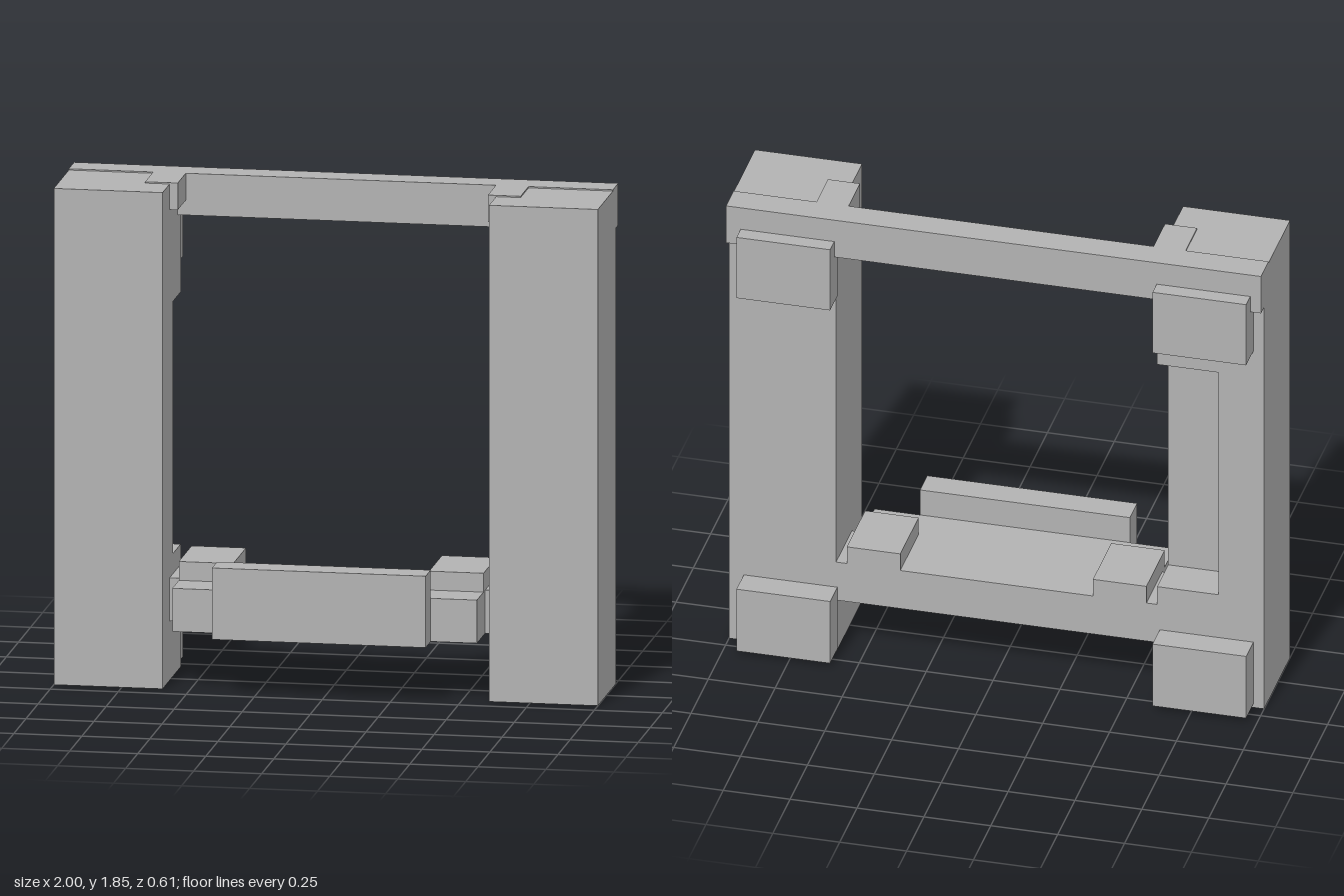
import * as THREE from 'three';

export function createModel() {
  const model = new THREE.Group();
  model.name = 'bracketFrame';
  const grey = new THREE.MeshStandardMaterial({ color: 0xb2b2b2 });
  grey.name = 'plain grey';

  // Box given by its limits along each axis
  function box(name, [x0, x1], [y0, y1], [z0, z1], parent = model) {
    const mesh = new THREE.Mesh(new THREE.BoxGeometry(x1 - x0, y1 - y0, z1 - z0), grey);
    mesh.position.set((x0 + x1) / 2, (y0 + y1) / 2, (z0 + z1) / 2);
    mesh.name = name;
    parent.add(mesh);
  }
  // Same box on either side: s = 1 for left (+x), -1 for right
  const span = (s, a, b) => (s > 0 ? [a, b] : [-b, -a]);

  // Left post is solid
  box('leftPost', [0.6, 1], [0, 1.84], [-0.2, 0.175]);

  // Right post has a pocket cut from its rear inner corner
  const rightPost = new THREE.Group();
  rightPost.name = 'rightPost';
  model.add(rightPost);
  box('postFoot', [-1, -0.6], [0, 0.455], [-0.2, 0.175], rightPost);
  box('pocketFrontWall', [-1, -0.6], [0.455, 1.39], [-0.04, 0.175], rightPost);
  box('pocketSideWall', [-1, -0.83], [0.455, 1.39], [-0.2, -0.04], rightPost);
  box('postHead', [-1, -0.6], [1.39, 1.84], [-0.2, 0.175], rightPost);

  // Top beam overhanging the back of the posts
  box('topBeam', [-1, 1], [1.69, 1.845], [-0.245, -0.135]);

  // Bottom beam with a front pad
  box('bottomBeam', [-0.56, 0.56], [0.22, 0.38], [-0.2, 0.2]);
  box('frontPad', [-0.395, 0.39], [0.22, 0.485], [0.2, 0.305]);

  for (const s of [1, -1]) {
    box('topBeamTab', span(s, 0.57, 0.69), [1.745, 1.845], [-0.135, 0.03]);
    box('bottomBeamTenon', span(s, 0.56, 0.6), [0.22, 0.38], [-0.2, 0.03]);
    box('bottomBeamBlock', span(s, 0.36, 0.56), [0.38, 0.45], [-0.2, 0.065]);
    // Rear pads, upper and lower
    const padX = s > 0 ? [0.595, 0.945] : [-0.96, -0.61];
    box('upperRearPad', padX, [1.5, 1.755], [-0.305, -0.2]);
    box('lowerRearPad', padX, [0.015, 0.275], [-0.305, -0.2]);
  }
  return model;
}
